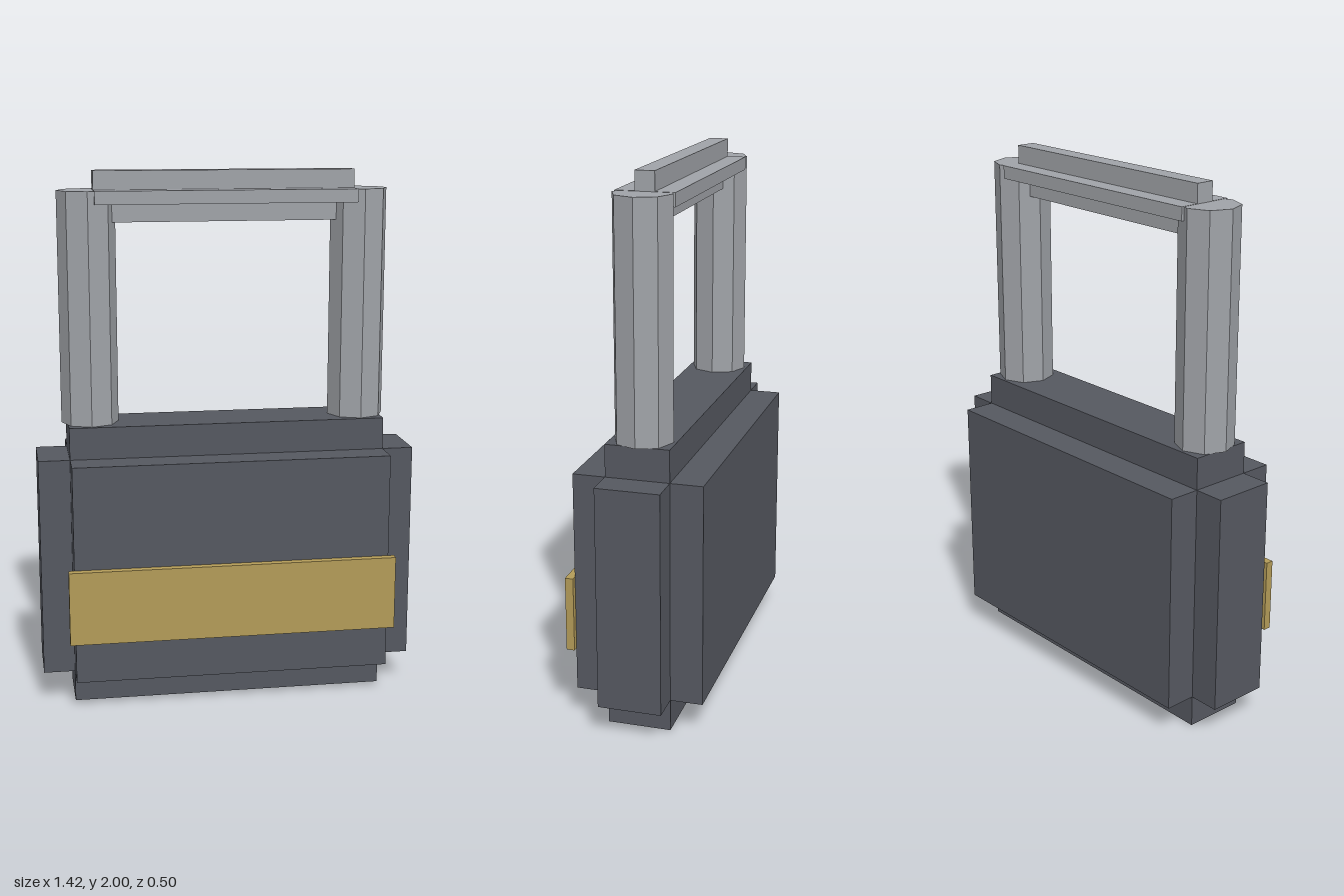
import * as THREE from 'three';

export function createModel() {
  const group = new THREE.Group();
  group.name = 'padlock';
  const mat = (color) => new THREE.MeshStandardMaterial({ color, flatShading: true });
  const dark = mat(0x555860), steel = mat(0xa0a3a8), brass = mat(0xb39b58);
  const Z = -0.015; // centre plane of body and shackle

  const add = (name, geometry, material, x, y, z) => {
    const mesh = new THREE.Mesh(geometry, material);
    mesh.name = name;
    mesh.position.set(x, y, z);
    group.add(mesh);
  };
  // Box centred on x, spanning y0..y1
  const box = (name, material, w, y0, y1, d, z = Z) =>
    add(name, new THREE.BoxGeometry(w, y1 - y0, d), material, 0, (y0 + y1) / 2, z);

  // Body: three crossing blocks give stepped edges
  box('bodyTall', dark, 1.19, 0, 1.07, 0.235);
  box('bodyWide', dark, 1.425, 0.12, 0.95, 0.235);
  box('bodyDeep', dark, 1.19, 0.12, 0.95, 0.475);

  // Front plate
  box('frontPlate', brass, 1.234, 0.28, 0.56, 0.03, 0.237);

  // Shackle: octagonal legs with a vertex facing outward
  for (const [name, side] of [['leftShackleLeg', 1], ['rightShackleLeg', -1]]) {
    add(name, new THREE.CylinderGeometry(0.107, 0.107, 0.86, 8), steel, side * 0.51, 1.5, Z);
  }
  // Crossbar with a plus-shaped section
  box('crossbarFlat', steel, 0.97, 1.882, 1.931, 0.214);
  box('crossbarUpright', steel, 0.97, 1.814, 2, 0.071);

  return group;
}
